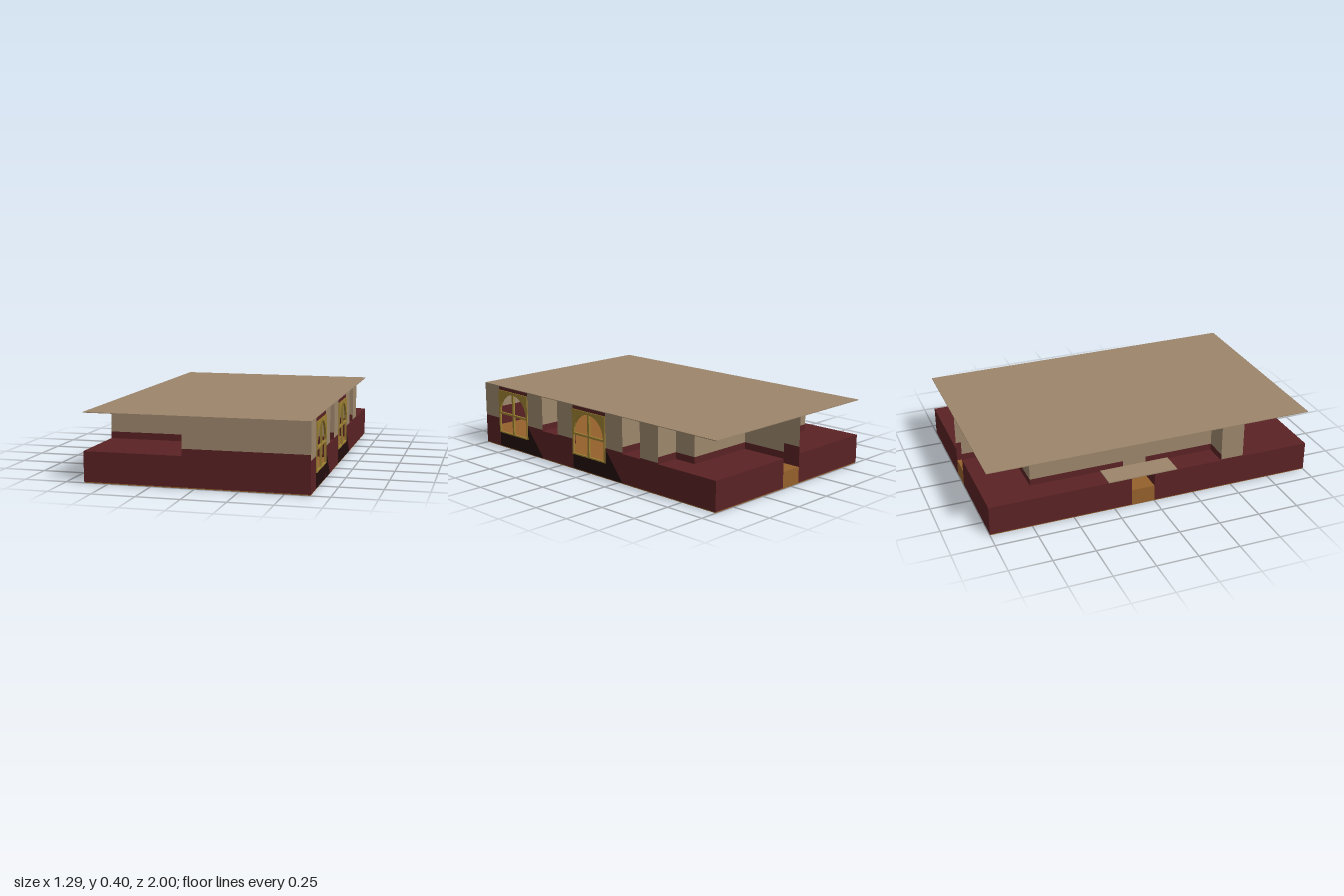
import * as THREE from 'three';
import { mergeGeometries } from 'three/addons/utils/BufferGeometryUtils.js';

const CELL = 1 / 7, W = 9 * CELL, D = 14 * CELL;
const FLOOR = 0.1, LOW = 0.18, TOP = 0.396;

// Floor plan, back row first: # low block, . tall room, d low side doorway
const PLAN = [
  '####.####',
  '####.####',
  '#.......#',
  '#........',
  '#.......#',
  '#........',
  'd........',
  '#........',
  '#........',
  '#.......#',
  '.........',
  '####.....',
  '####.....',
  '####.....',
];
const WINDOW_ROWS = [6, 7, 11, 12];

const material = (name, color) => {
  const m = new THREE.MeshStandardMaterial({ color, side: THREE.DoubleSide });
  m.name = name;
  return m;
};

export function createModel() {
  const model = new THREE.Group();
  model.name = 'building';
  const tan = material('tan', 0x9c866b);
  const red = material('dark red', 0x5a2224);
  const gold = material('gold', 0x9c8032);
  const wood = material('floor brown', 0x94602c);
  const black = material('near black', 0x220e0c);

  const add = (name, geometry, mat, x = 0, y = 0, z = 0) => {
    const mesh = new THREE.Mesh(geometry, mat);
    mesh.name = name;
    mesh.position.set(x, y, z);
    model.add(mesh);
    return mesh;
  };

  // Raised floor and flat roof
  add('floor', new THREE.BoxGeometry(W - 0.004, FLOOR, D - 0.004), wood, 0, FLOOR / 2, 0);
  add('roof', new THREE.BoxGeometry(W, 0.004, D), tan, 0, 0.398, 0);

  // Wall and block faces are collected by part, then merged
  const parts = { lowWalls: [], upperWalls: [], blockTops: [], windowAprons: [] };
  const at = (c, r) => (PLAN[r] && PLAN[r][c]) || ' ';
  const cx = (c) => (c + 0.5) * CELL - W / 2;
  const cz = (r) => (r + 0.5) * CELL - D / 2;
  const face = (part, c, r, dx, dz, y0, y1) => {
    const g = new THREE.PlaneGeometry(CELL, y1 - y0);
    g.rotateY(Math.atan2(dx, dz));
    g.translate(cx(c) + dx * CELL / 2, (y0 + y1) / 2, cz(r) + dz * CELL / 2);
    parts[part].push(g);
  };

  for (let r = 0; r < 14; r++) {
    for (let c = 0; c < 9; c++) {
      const kind = at(c, r);
      if (kind === '#') {
        const g = new THREE.PlaneGeometry(CELL, CELL).rotateX(-Math.PI / 2);
        parts.blockTops.push(g.translate(cx(c), LOW, cz(r)));
      }
      for (const [dx, dz] of [[1, 0], [-1, 0], [0, 1], [0, -1]]) {
        const next = at(c + dx, r + dz), outside = next === ' ';
        if (kind === '#') {
          if (outside) face('lowWalls', c, r, dx, dz, 0.006, LOW);
        } else if (kind === 'd') {
          if (next === '#') face('lowWalls', c, r, dx, dz, FLOOR, LOW);
        } else if (next === 'd') {
          face('upperWalls', c, r, dx, dz, LOW, TOP);
        } else if (outside && dx === 1 && WINDOW_ROWS.includes(r)) {
          face('windowAprons', c, r, dx, dz, 0.006, FLOOR);
          face('lowWalls', c, r, dx, dz, 0.375, TOP);
        } else if (outside && dz === -1) {
          continue; // open back doorway
        } else if (outside || next === '#') {
          const base = outside && dx !== 0 ? 0.187 : 0.22;
          face('lowWalls', c, r, dx, dz, outside ? 0.006 : FLOOR, base);
          face('upperWalls', c, r, dx, dz, base, TOP);
        }
      }
    }
  }
  const mats = { lowWalls: red, upperWalls: tan, blockTops: red, windowAprons: black };
  for (const name in parts) add(name, mergeGeometries(parts[name]), mats[name]);

  // Tan lid over the side doorway
  add('doorwayLid', new THREE.BoxGeometry(CELL, 0.006, 3 * CELL), tan,
    cx(0), LOW + 0.003, cz(6));

  // Arched windows in gold frames, with a mullion and a transom
  const frame = new THREE.Shape();
  frame.moveTo(-CELL, 0.095).lineTo(CELL, 0.095).lineTo(CELL, 0.375).lineTo(-CELL, 0.375);
  frame.closePath();
  for (const s of [-1, 1]) {
    const pane = new THREE.Path();
    pane.moveTo(s * 0.007, 0.103).lineTo(s * 0.133, 0.103);
    pane.lineTo(s * 0.133, 0.22).lineTo(s * 0.007, 0.22);
    pane.closePath();
    const arch = new THREE.Path();
    arch.moveTo(s * 0.007, 0.232);
    for (let i = 0; i <= 6; i++) {
      const a = (i / 6) * 1.51;
      arch.lineTo(s * 0.129 * Math.cos(a), 0.232 + 0.127 * Math.sin(a));
    }
    arch.closePath();
    frame.holes.push(pane, arch);
  }
  const windowGeometry = new THREE.ExtrudeGeometry(frame, { depth: 0.012, bevelEnabled: false });
  windowGeometry.rotateY(Math.PI / 2);

  // Dark slanted panel on the wall just behind each window
  const slant = new THREE.Shape();
  slant.moveTo(0, 0.006).lineTo(CELL, 0.006).lineTo(0, LOW);
  const slantGeometry = new THREE.ShapeGeometry(slant).rotateY(Math.PI / 2);

  for (const z of [0, 5 * CELL]) {
    add('archedWindow', windowGeometry, gold, W / 2 - 0.006, 0, z);
    add('slantedPanel', slantGeometry, black, W / 2 + 0.002, 0, z - CELL);
  }
  return model;
}
